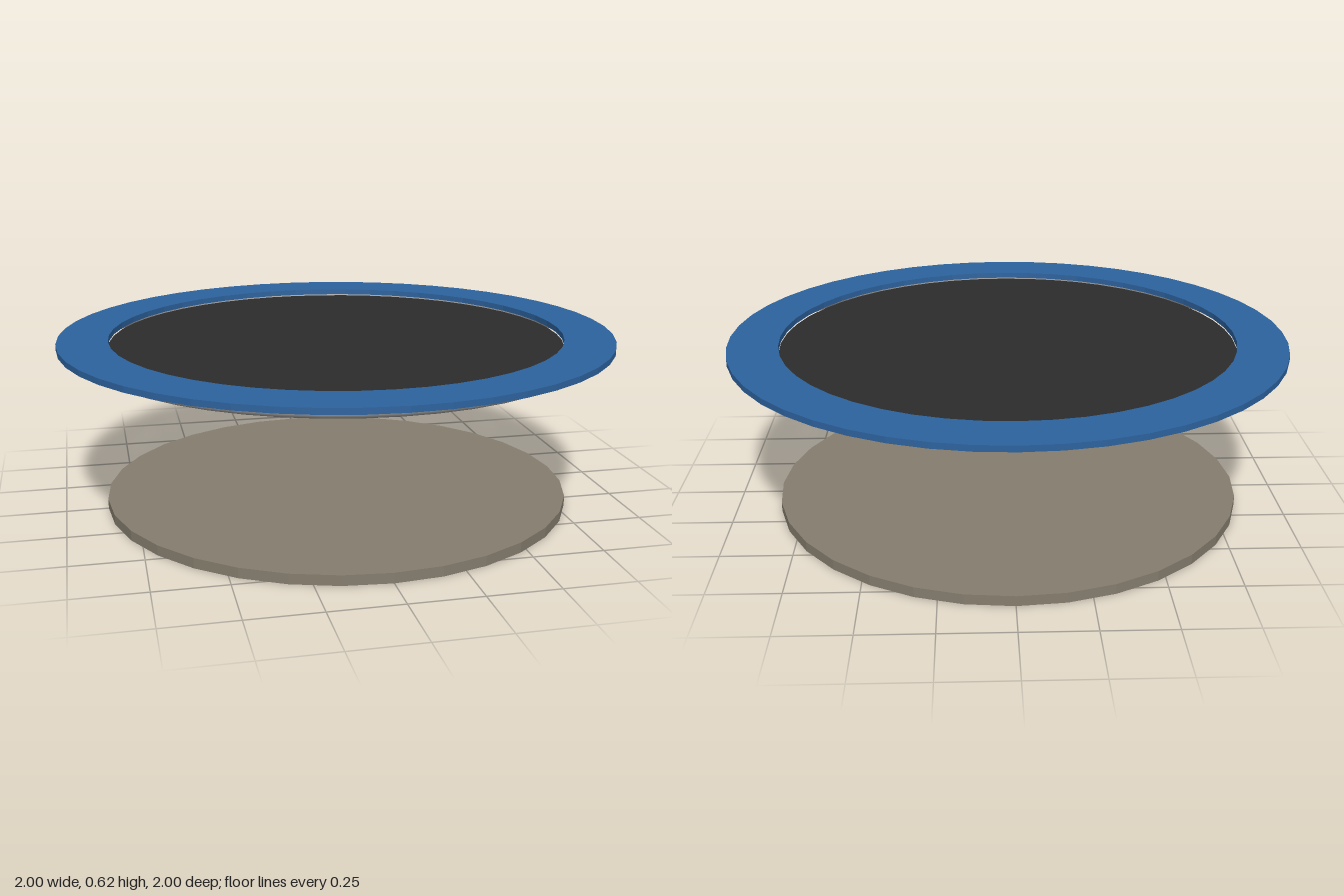
import * as THREE from 'three';

const paint = (name, color, options = {}) => {
  const m = new THREE.MeshStandardMaterial({ color, ...options });
  m.name = name;
  return m;
};

export function createModel() {
  const group = new THREE.Group();
  group.name = 'trampoline';

  const blue = paint('blue padding', 0x2d639f, { flatShading: true });
  const black = paint('black mat', 0x2c2c2c);
  const steel = paint('steel', 0x9a9a9a);
  const stone = paint('ground tan', 0x857d6e, { flatShading: true });

  const add = (name, geometry, material, y) => {
    const mesh = new THREE.Mesh(geometry, material);
    mesh.name = name;
    mesh.position.y = y;
    group.add(mesh);
  };

  // Round base pad on the ground
  add('basePad', new THREE.CylinderGeometry(0.85, 0.85, 0.036, 32), stone, 0.018);

  // Steel frame tube, bent into a ring
  add('frameRing', new THREE.TorusGeometry(0.9, 0.018, 8, 48).rotateX(Math.PI / 2), steel, 0.577);

  // Jumping mat, just below the padding
  add('mat', new THREE.CylinderGeometry(0.82, 0.82, 0.011, 48), black, 0.59);

  // Flat padding ring with an open centre
  const outline = new THREE.Shape().absarc(0, 0, 1, 0, Math.PI * 2);
  outline.holes.push(new THREE.Path().absarc(0, 0, 0.82, 0, Math.PI * 2, true));
  const padding = new THREE.ExtrudeGeometry(outline, {
    depth: 0.021, bevelEnabled: false, curveSegments: 24,
  }).rotateX(-Math.PI / 2);
  add('paddingRing', padding, blue, 0.6);

  return group;
}
